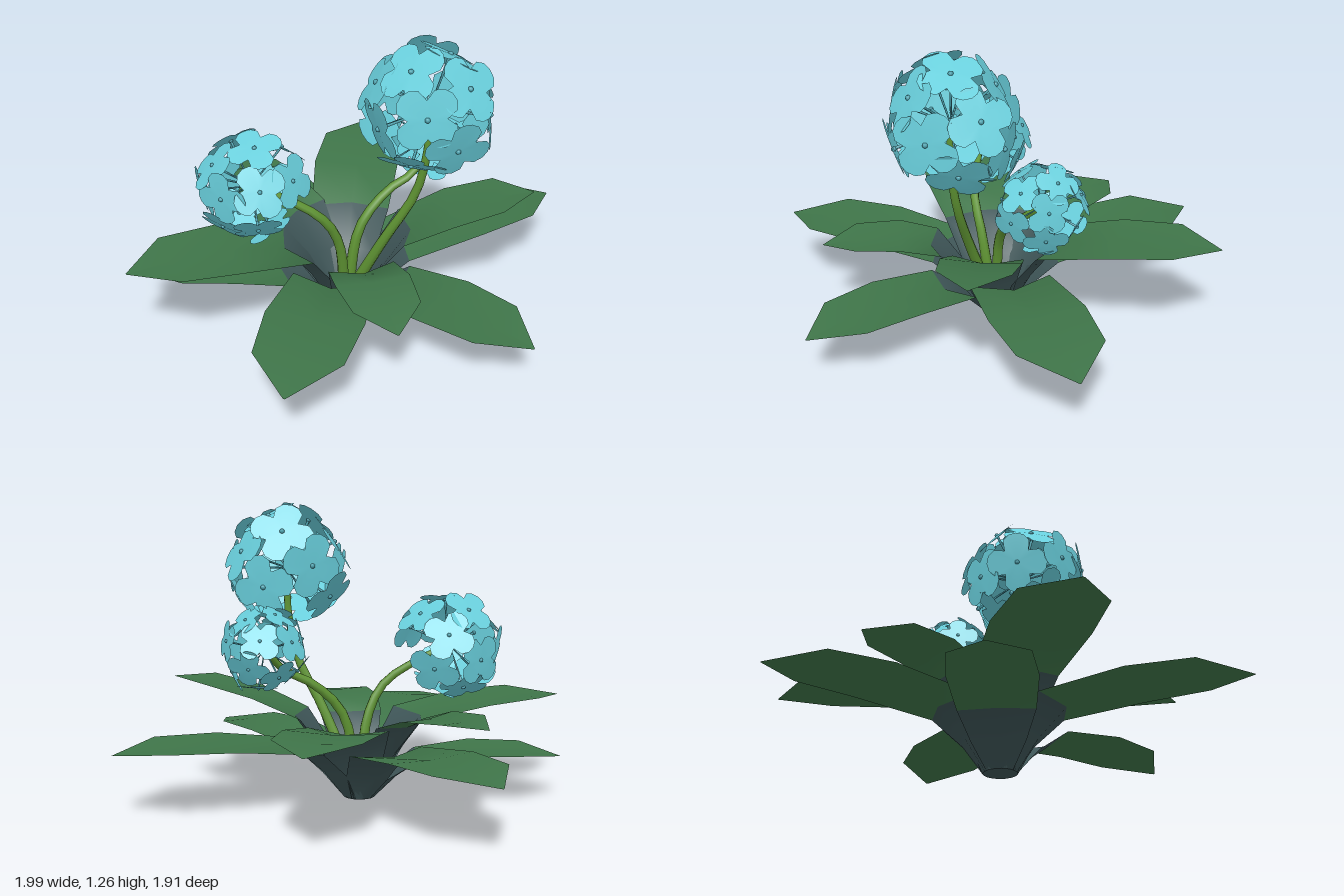
import * as THREE from 'three';

const V = (x, y, z) => new THREE.Vector3(x, y, z);
const mat = (name, color, side = THREE.FrontSide) => {
  const m = new THREE.MeshStandardMaterial({ color, side });
  m.name = name;
  return m;
};

const CENTRE = V(-0.06, 0, 0.04);

// Leaves: tip x, tip z, tip height, height where the dark base ends, half width
const LEAVES = [
  [-0.82, -0.37, 0.185, 0.17, 0.15],
  [0.23, 0.95, 0.2, 0.18, 0.155],
  [0.99, 0.14, 0.265, 0.225, 0.175],
  [-0.14, -0.96, 0.27, 0.23, 0.175],
  [-0.77, 0.77, 0.28, 0.245, 0.175],
  [-1.0, -0.09, 0.395, 0.34, 0.175],
  [0.53, -0.73, 0.4, 0.33, 0.17],
  [-0.27, 0.75, 0.34, 0.315, 0.135],
  [-0.29, -0.63, 0.4, 0.345, 0.14],
  [0.64, 0.43, 0.52, 0.35, 0.145],
];

// Dark base rows: distance from the centre, fraction of half width, fraction of knee height
const BASE_ROWS = [[0.07, 0.4, 0], [0.16, 0.8, 0.52], [0.28, 1.08, 1]];
// Green blade rows: fraction of leaf length, fraction of half width
const BLADE_ROWS = [[0.55, 1.14], [0.81, 1], [1, 0.02]];

// A leaf of three columns: its base curves round the cup, its blade has a low midrib
function leafGeometry([tx, tz, tipY, kneeY, half]) {
  const dir = V(tx, 0, tz).sub(CENTRE);
  const length = dir.length();
  dir.normalize();
  const across = V(-dir.z, 0, dir.x);
  const rows = BASE_ROWS.map(([r, w, f]) => [r, w, f * kneeY]);
  for (const [t, w] of BLADE_ROWS) {
    const s = (t - 0.3) / 0.7;
    rows.push([t * length, w, kneeY + (tipY - kneeY) * s + 0.035 * Math.sin(Math.PI * s)]);
  }
  const pos = [], index = [];
  rows.forEach(([r, w, y], row) => {
    for (const side of [-1, 0, 1]) {
      const inBase = row < BASE_ROWS.length;
      const a = side * w * half / r;
      const p = CENTRE.clone()
        .addScaledVector(dir, inBase ? r * Math.cos(a) : r)
        .addScaledVector(across, inBase ? r * Math.sin(a) : side * w * half);
      pos.push(p.x, y + (row ? Math.abs(side) * 0.01 * w : 0), p.z);
    }
    if (row === 0) return;
    for (let c = 0; c < 2; c++) {
      const a = (row - 1) * 3 + c, b = a + 3;
      index.push(a, a + 1, b, b, a + 1, b + 1);
    }
  });
  const g = new THREE.BufferGeometry();
  g.setAttribute('position', new THREE.Float32BufferAttribute(pos, 3));
  g.setIndex(index);
  g.computeVertexNormals();
  const dark = (BASE_ROWS.length - 1) * 12;
  g.addGroup(0, dark, 0);
  g.addGroup(dark, index.length - dark, 1);
  return g;
}

// Four broad, nearly flat petals with notches between them
function petalGeometry() {
  const g = new THREE.CircleGeometry(1, 24);
  const p = g.attributes.position;
  const rim = [1, 0.97, 0.86, 0.56, 0.86, 0.97];
  for (let i = 1; i < p.count; i++) {
    const r = rim[(i - 1) % 6];
    p.setXYZ(i, p.getX(i) * r, p.getY(i) * r, -0.07 * r * r);
  }
  g.computeVertexNormals();
  return g;
}

// Stem with a radius that narrows towards its top
function stemGeometry(points, bottom, top) {
  const curve = new THREE.CatmullRomCurve3(points);
  const seg = 12, sides = 8;
  const g = new THREE.TubeGeometry(curve, seg, 1, sides);
  const p = g.attributes.position;
  for (let i = 0; i < p.count; i++) {
    const t = Math.floor(i / (sides + 1)) / seg;
    const c = curve.getPointAt(t);
    const v = V().fromBufferAttribute(p, i).sub(c)
      .multiplyScalar(bottom + (top - bottom) * t).add(c);
    p.setXYZ(i, v.x, v.y, v.z);
  }
  return g;
}

// Flower heads: stem path ending at the head's middle, head radius, floret radius
const HEADS = [
  { path: [V(-0.05, 0.03, 0.05), V(0.04, 0.36, 0.19), V(0.13, 0.6, 0.28), V(0.155, 0.8, 0.315), V(0.16, 0.98, 0.31)],
    radius: 0.24, floret: 0.137, spin: 0.4 },
  { path: [V(-0.07, 0.03, 0.05), V(-0.12, 0.34, 0.08), V(-0.2, 0.48, 0.08), V(-0.32, 0.575, 0.02), V(-0.45, 0.65, -0.05)],
    radius: 0.2, floret: 0.113, spin: 1.3 },
  { path: [V(-0.05, 0.03, 0.04), V(0.01, 0.36, 0.05), V(0.14, 0.5, 0.06), V(0.27, 0.57, 0.08), V(0.38, 0.67, 0.02)],
    radius: 0.16, floret: 0.09, spin: 2.2 },
];
const FLORETS = 15;

export function createModel() {
  const model = new THREE.Group();
  model.name = 'floweringPlant';
  const leafGreen = mat('leafGreen', 0x3f7549, THREE.DoubleSide);
  const leafBase = mat('leafBaseSlate', 0x3e5557, THREE.DoubleSide);
  const stemGreen = mat('stemGreen', 0x5f9433);
  const petalBlue = mat('petalBlue', 0x69cfdc, THREE.DoubleSide);
  const tubeTeal = mat('floretTeal', 0x4da3b0);

  // Rosette of leaves with dark bases
  const rosette = new THREE.Group();
  rosette.name = 'leafRosette';
  for (const spec of LEAVES) {
    const leaf = new THREE.Mesh(leafGeometry(spec), [leafBase, leafGreen]);
    leaf.name = 'leaf';
    rosette.add(leaf);
  }
  // Closed foot of the rosette
  const foot = new THREE.Mesh(new THREE.CircleGeometry(0.07, 16).rotateX(-Math.PI / 2), leafBase);
  foot.name = 'rosetteFoot';
  foot.position.copy(CENTRE);
  rosette.add(foot);
  model.add(rosette);

  const petals = petalGeometry();
  const knob = new THREE.SphereGeometry(0.08, 8, 6);
  const tube = new THREE.CylinderGeometry(0.05, 0.025, 1, 5, 1, true)
    .translate(0, 0.5, 0).rotateX(Math.PI / 2);

  HEADS.forEach(({ path, radius, floret, spin }) => {
    const stem = new THREE.Mesh(stemGeometry(path, 0.026, 0.014), stemGreen);
    stem.name = 'stem';
    model.add(stem);

    // Ball of florets, open where the stem enters
    const head = new THREE.Group();
    head.name = 'flowerHead';
    const tip = path[path.length - 1];
    head.position.copy(tip);
    const axis = tip.clone().sub(path[path.length - 2]).normalize();
    head.quaternion.setFromUnitVectors(V(0, 1, 0), axis);
    for (let i = 0; i < FLORETS; i++) {
      const y = 0.95 - 1.67 * i / (FLORETS - 1);
      const a = spin + i * 2.39996, r = Math.sqrt(1 - y * y);
      const out = V(Math.cos(a) * r, y, Math.sin(a) * r);
      const flower = new THREE.Group();
      flower.name = 'floret';
      flower.quaternion.setFromUnitVectors(V(0, 0, 1), out);
      const blossom = new THREE.Mesh(petals, petalBlue);
      blossom.name = 'petals';
      blossom.position.z = radius;
      // Each floret tips a little its own way
      blossom.rotation.set(0.16 * Math.sin(i * 2.3), 0.16 * Math.cos(i * 3.1), i * 1.7);
      blossom.scale.setScalar(floret);
      const eye = new THREE.Mesh(knob, tubeTeal);
      eye.name = 'floretEye';
      eye.position.z = radius;
      eye.scale.setScalar(floret);
      const stalk = new THREE.Mesh(tube, tubeTeal);
      stalk.name = 'floretStalk';
      stalk.scale.set(floret, floret, radius);
      flower.add(blossom, eye, stalk);
      head.add(flower);
    }
    model.add(head);
  });
  return model;
}
